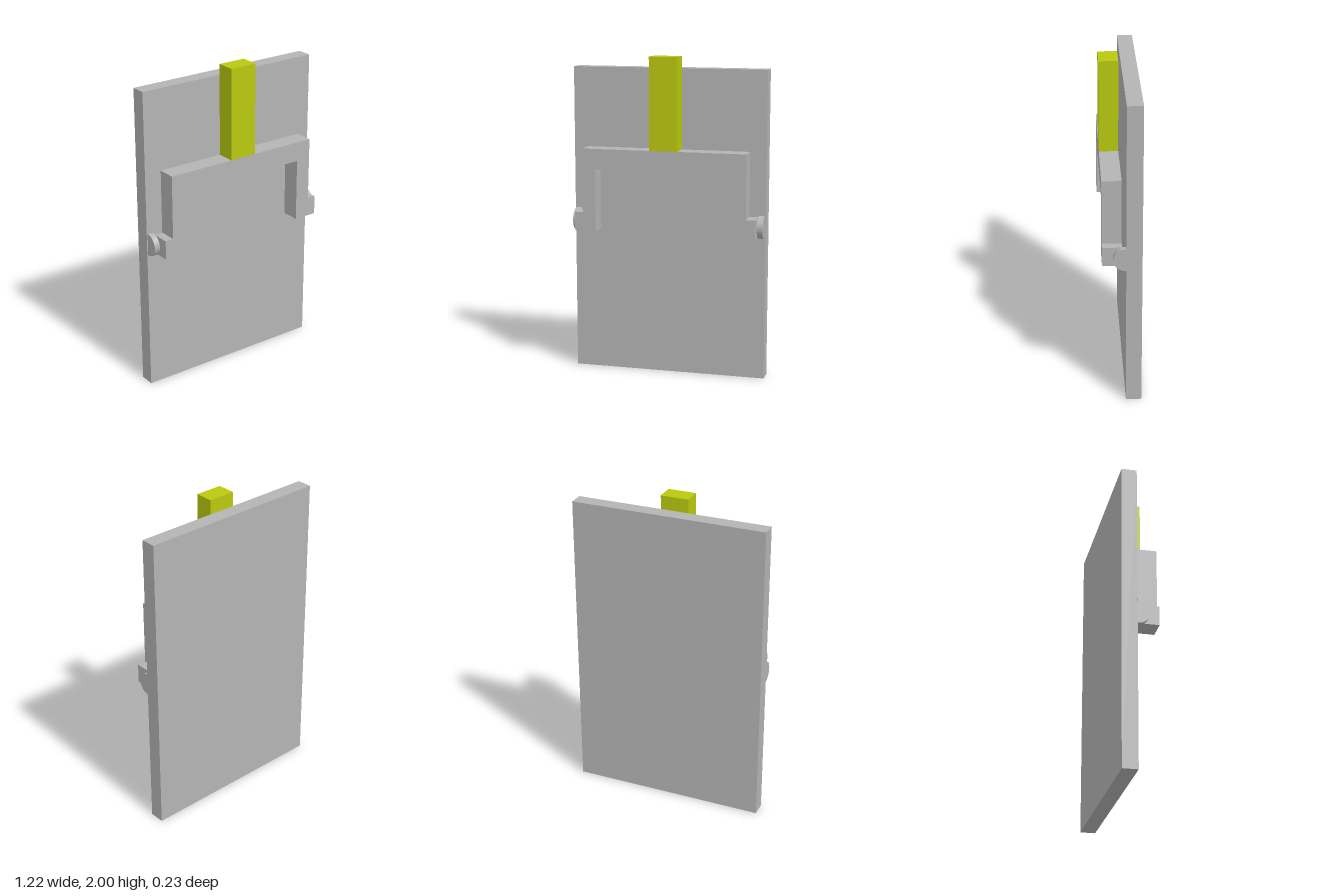
import * as THREE from 'three';

export function createModel() {
  const model = new THREE.Group();
  const grey = new THREE.MeshStandardMaterial({ color: 0xb4b4b4 });
  grey.name = 'grey';
  const yellow = new THREE.MeshStandardMaterial({ color: 0xb9c90e });
  yellow.name = 'yellowGreen';

  const add = (name, geometry, material) => {
    const mesh = new THREE.Mesh(geometry, material);
    mesh.name = name;
    model.add(mesh);
    return mesh;
  };
  // Box given by its lower and upper corners
  const box = (name, [x0, y0, z0], [x1, y1, z1], material) =>
    add(name, new THREE.BoxGeometry(x1 - x0, y1 - y0, z1 - z0), material)
      .position.set((x0 + x1) / 2, (y0 + y1) / 2, (z0 + z1) / 2);

  // Upright back plate and the coloured handle
  box('backPlate', [-0.612, 0, -0.118], [0.612, 1.925, -0.023], grey);
  box('handle', [-0.089, 1.43, 0], [0.087, 2, 0.117], yellow);

  // Bracket: an arch with outward feet, extruded in one piece
  const outline = [
    [-0.57, 0.91], [-0.437, 0.91], [-0.437, 1.306], [0.419, 1.306],
    [0.419, 0.91], [0.57, 0.91], [0.57, 1.03], [0.515, 1.03],
    [0.515, 1.43], [-0.517, 1.43], [-0.517, 1.03], [-0.57, 1.03],
  ].map(([x, y]) => new THREE.Vector2(x, y));
  add('bracket', new THREE.ExtrudeGeometry(new THREE.Shape(outline),
    { depth: 0.117, bevelEnabled: false }), grey);

  // Half-round pivots on the plate, beside the feet
  for (const side of [-1, 1]) {
    const pivot = add(side > 0 ? 'leftPivot' : 'rightPivot',
      new THREE.CylinderGeometry(0.07, 0.07, 0.036, 40), grey);
    pivot.rotation.z = Math.PI / 2;
    pivot.position.set(side * 0.588, 0.965, -0.017);
  }
  return model;
}
